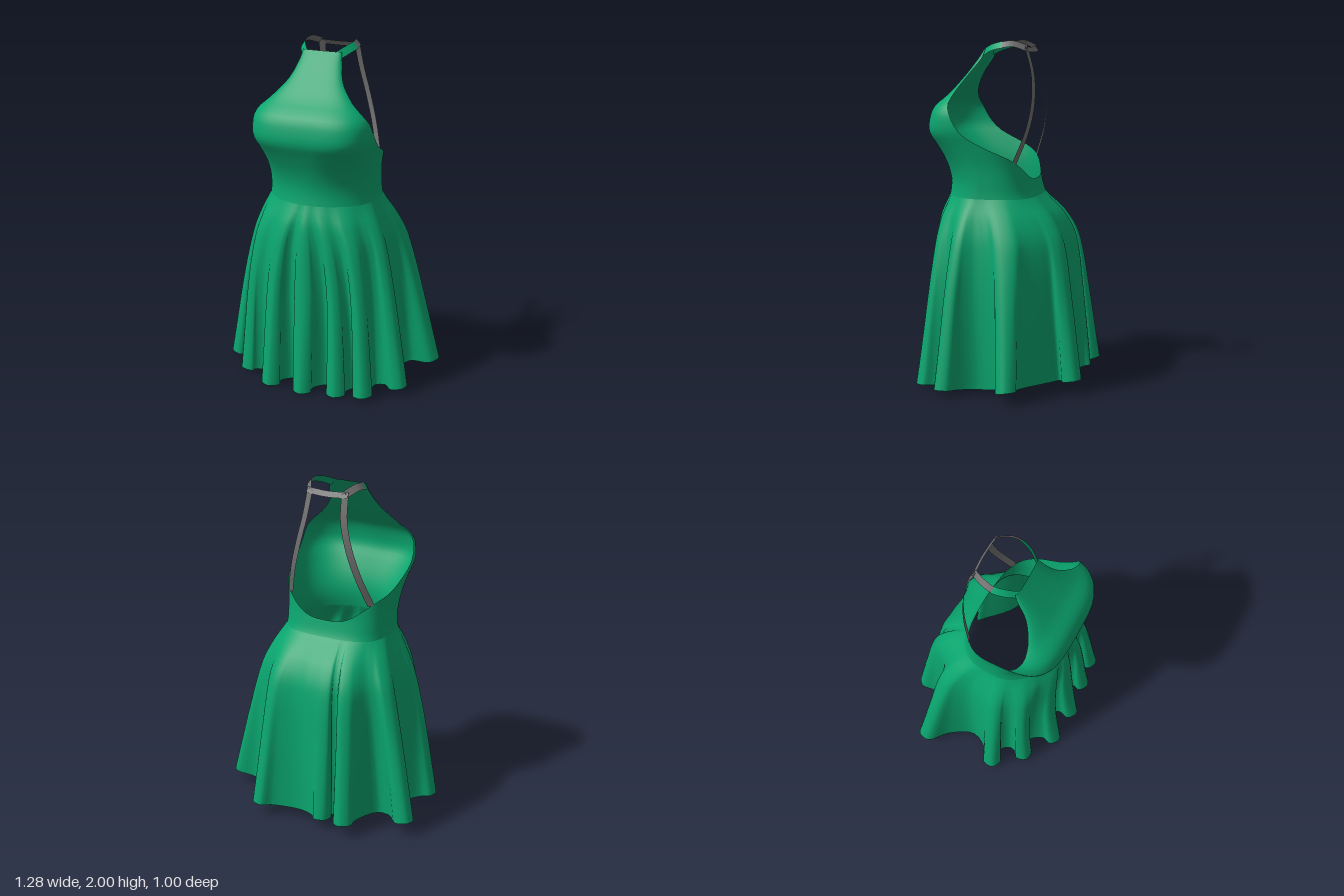
import * as THREE from 'three';
import { mergeGeometries, mergeVertices } from 'three/addons/utils/BufferGeometryUtils.js';

const CX = -0.018; // the body sits slightly off centre
const POWER = 0.65; // boxiness of the back and hem cross-sections
const RAD = Math.PI / 180;
const UNDERARM = 1.425, NECKLINE = 1.957, WAIST = 1.1;

// Body profile: y, half width, side z, front z, back z, front panel end angle, front boxiness
const PROFILE = [
  [0.0, 0.41, 0.05, 0.35, -0.37, 90, 0.65],
  [0.5, 0.41, 0.05, 0.37, -0.37, 90, 0.65],
  [0.85, 0.39, 0.06, 0.385, -0.355, 90, 0.8],
  [1.0, 0.355, 0.08, 0.38, -0.285, 90, 0.95],
  [1.1, 0.325, 0.09, 0.35, -0.20, 90, 1.05],
  [1.2, 0.322, 0.09, 0.34, -0.168, 90, 1.05],
  [1.3, 0.327, 0.10, 0.36, -0.155, 90, 0.92],
  [1.425, 0.35, 0.10, 0.413, -0.14, 90, 0.67],
  [1.455, 0.357, 0.10, 0.43, -0.14, 87, 0.61],
  [1.5, 0.365, 0.10, 0.44, -0.14, 83, 0.56],
  [1.6, 0.358, 0.12, 0.42, -0.14, 75, 0.56],
  [1.65, 0.322, 0.17, 0.385, -0.14, 72, 0.6],
  [1.7, 0.26, 0.22, 0.325, -0.14, 75, 0.65],
  [1.8, 0.17, 0.19, 0.24, -0.14, 80, 0.65],
  [1.9, 0.13, 0.13, 0.165, -0.14, 90, 0.65],
  [1.957, 0.118, 0.11, 0.125, -0.14, 90, 0.65],
];

// Smooth lookup in the profile
function profile(y, col) {
  const n = PROFILE.length;
  let i = 0;
  while (i < n - 2 && y > PROFILE[i + 1][0]) i++;
  const slope = (k) => {
    const a = PROFILE[Math.max(k - 1, 0)], b = PROFILE[Math.min(k + 1, n - 1)];
    return (b[col] - a[col]) / (b[0] - a[0]);
  };
  const p = PROFILE[i], q = PROFILE[i + 1], h = q[0] - p[0];
  const t = THREE.MathUtils.clamp((y - p[0]) / h, 0, 1), t2 = t * t, t3 = t2 * t;
  return p[col] * (2 * t3 - 3 * t2 + 1) + q[col] * (3 * t2 - 2 * t3)
    + h * (slope(i) * (t3 - 2 * t2 + t) + slope(i + 1) * (t3 - t2));
}

const signedPow = (v, e) => Math.sign(v) * Math.abs(v) ** e;

// Point on the body; angle 0 faces front and grows towards +x
function body(angle, y) {
  const cos = Math.cos(angle), zc = profile(y, 2);
  const power = cos > 0 ? profile(y, 6) : POWER;
  const depth = cos > 0 ? profile(y, 3) - zc : zc - profile(y, 4);
  return new THREE.Vector3(
    CX + profile(y, 1) * signedPow(Math.sin(angle), power), y, zc + depth * signedPow(cos, power));
}

// Sheet of nu x nv quads from a point function of u and v
function sheet(fn, nu, nv) {
  const pos = [], index = [];
  for (let j = 0; j <= nv; j++) {
    for (let i = 0; i <= nu; i++) pos.push(...fn(i / nu, j / nv).toArray());
  }
  for (let j = 0; j < nv; j++) {
    for (let i = 0; i < nu; i++) {
      const a = j * (nu + 1) + i, b = a + nu + 1;
      index.push(a, a + 1, b + 1, a, b + 1, b);
    }
  }
  const g = new THREE.BufferGeometry();
  g.setAttribute('position', new THREE.Float32BufferAttribute(pos, 3));
  g.setIndex(index);
  return g;
}

// Join sheets and smooth across their seams
function smooth(...sheets) {
  const g = mergeVertices(mergeGeometries(sheets), 1e-4);
  g.computeVertexNormals();
  return g;
}

// Flat ribbon along a path, facing away from a centre point
function ribbon(points, centre, width, from = 0, to = 1) {
  const curve = new THREE.CatmullRomCurve3(points.map((p) => new THREE.Vector3(...p)));
  const mid = new THREE.Vector3(...centre);
  return smooth(sheet((u, v) => {
    const t = from + (to - from) * v, p = curve.getPoint(t);
    const side = curve.getTangent(t).cross(p.clone().sub(mid)).normalize();
    return p.addScaledVector(side, (u - 0.5) * width);
  }, 1, 14));
}

// Skirt folds at the hem: tip x, tip z, then the valley that follows
const FOLDS = [
  [0, 0.505, 0.11, 0.335], [0.21, 0.48, 0.28, 0.33], [0.375, 0.455, 0.38, 0.25],
  [0.56, 0.28, 0.42, 0.06], [0.635, -0.14, 0.28, -0.33], [0.31, -0.475, 0.02, -0.40],
  [-0.17, -0.46, -0.18, -0.355], [-0.28, -0.50, -0.39, -0.20], [-0.63, -0.31, -0.45, -0.01],
  [-0.59, 0.20, -0.42, 0.23], [-0.44, 0.365, -0.31, 0.32], [-0.21, 0.49, -0.11, 0.335],
];

function skirtGeometry() {
  const n = FOLDS.length, lobes = [], angles = [];
  FOLDS.forEach(([x, z, vx, vz], i) => {
    const prev = FOLDS[(i + n - 1) % n];
    const tip = new THREE.Vector3(x, 0, z), valley = new THREE.Vector3(vx, 0, vz);
    const root = new THREE.Vector3(prev[2], 0, prev[3]).add(valley).multiplyScalar(0.5);
    const out = tip.clone().sub(root).normalize();
    const along = new THREE.Vector3(out.z, 0, -out.x);
    const side = (s) => tip.clone().addScaledVector(out, -0.04).addScaledVector(along, s * 0.056);
    const neck = (s) => root.clone().lerp(tip, 0.4).addScaledVector(along, s * 0.044);
    lobes.push({ tip, valley, side, neck });
    let a = Math.atan2(signedPow(x / 0.41, 1 / POWER),
      signedPow((z - 0.05) / (z > 0.05 ? 0.35 : 0.42), 1 / POWER));
    while (i && a < angles[i - 1]) a += 2 * Math.PI;
    angles.push(a);
  });
  angles.push(angles[0] + 2 * Math.PI);
  const points = lobes.flatMap((l, i) => {
    const next = lobes[(i + 1) % n];
    return [l.tip, l.side(1), l.neck(1), l.valley, next.neck(-1), next.side(-1)];
  });
  const hem = new THREE.CatmullRomCurve3(points, true);
  return smooth(sheet((u, v) => {
    const k = Math.min(Math.floor(u * n + 1e-9), n - 1);
    const angle = THREE.MathUtils.lerp(angles[k], angles[k + 1], u * n - k);
    const end = hem.getPoint(u % 1);
    end.y = 0.005 + 0.13 * end.x ** 2 + 0.14 * Math.max(0, -end.z);
    const y = THREE.MathUtils.lerp(end.y, WAIST + 0.01, v);
    const p = body(angle, y).lerp(end, 1 - v);
    p.y = y;
    return p;
  }, n * 24, 28));
}

function bodiceGeometry() {
  // Front panel: full half-round to the underarm, then narrowing to the neckline
  const front = sheet((u, v) => {
    const y = v < 0.3 ? THREE.MathUtils.mapLinear(v, 0, 0.3, WAIST, UNDERARM)
      : THREE.MathUtils.mapLinear(v, 0.3, 1, UNDERARM, NECKLINE);
    return body((2 * u - 1) * Math.min(profile(y, 5), 90) * RAD, y);
  }, 40, 30);
  // Back band: the upper edge slopes down from the underarm and dips at the centre
  const back = sheet((u, v) => {
    const c = Math.sin(u * Math.PI) ** POWER;
    const top = UNDERARM - 0.115 * c - 0.105 * c ** 8;
    return body((90 + 180 * u) * RAD, WAIST + (top - WAIST) * v);
  }, 48, 9);
  return smooth(front, back);
}

export function createModel() {
  const green = new THREE.MeshStandardMaterial({ color: 0x0aa56f, side: THREE.DoubleSide });
  green.name = 'green fabric';
  const grey = new THREE.MeshStandardMaterial({ color: 0x707070, side: THREE.DoubleSide });
  grey.name = 'grey strap';
  const dress = new THREE.Group();
  dress.name = 'dress';
  const add = (name, geometry, material) => {
    const mesh = new THREE.Mesh(geometry, material);
    mesh.name = name;
    dress.add(mesh);
  };

  add('skirt', skirtGeometry(), green);
  add('bodice', bodiceGeometry(), green);

  // Halter loop and back straps, one set for each side
  const neckCentre = [CX, 1.86, 0];
  for (const [label, s] of [['left', 1], ['right', -1]]) {
    const at = (x, y, z) => [CX + s * x, y, z];
    const neck = [at(0.1, 1.935, 0.128), at(0.14, 1.965, 0.065), at(0.158, 1.98, 0),
      at(0.15, 1.986, -0.06), at(0.115, 1.96, -0.135)];
    add(label + 'HalterFront', ribbon(neck, neckCentre, 0.048, 0, 0.5), green);
    add(label + 'HalterBack', ribbon(neck, neckCentre, 0.044, 0.5, 1), grey);
    const strap = [at(0.11, 1.965, -0.13), at(0.122, 1.82, -0.17), at(0.16, 1.66, -0.183),
      at(0.21, 1.49, -0.16), at(0.262, 1.315, -0.1)];
    add(label + 'BackStrap', ribbon(strap, [CX, 1.6, 0.3], 0.04), grey);
  }
  const bar = [[CX - 0.128, 1.955, -0.135], [CX, 1.95, -0.143], [CX + 0.128, 1.955, -0.135]];
  add('neckBar', ribbon(bar, neckCentre, 0.036), grey);
  return dress;
}
